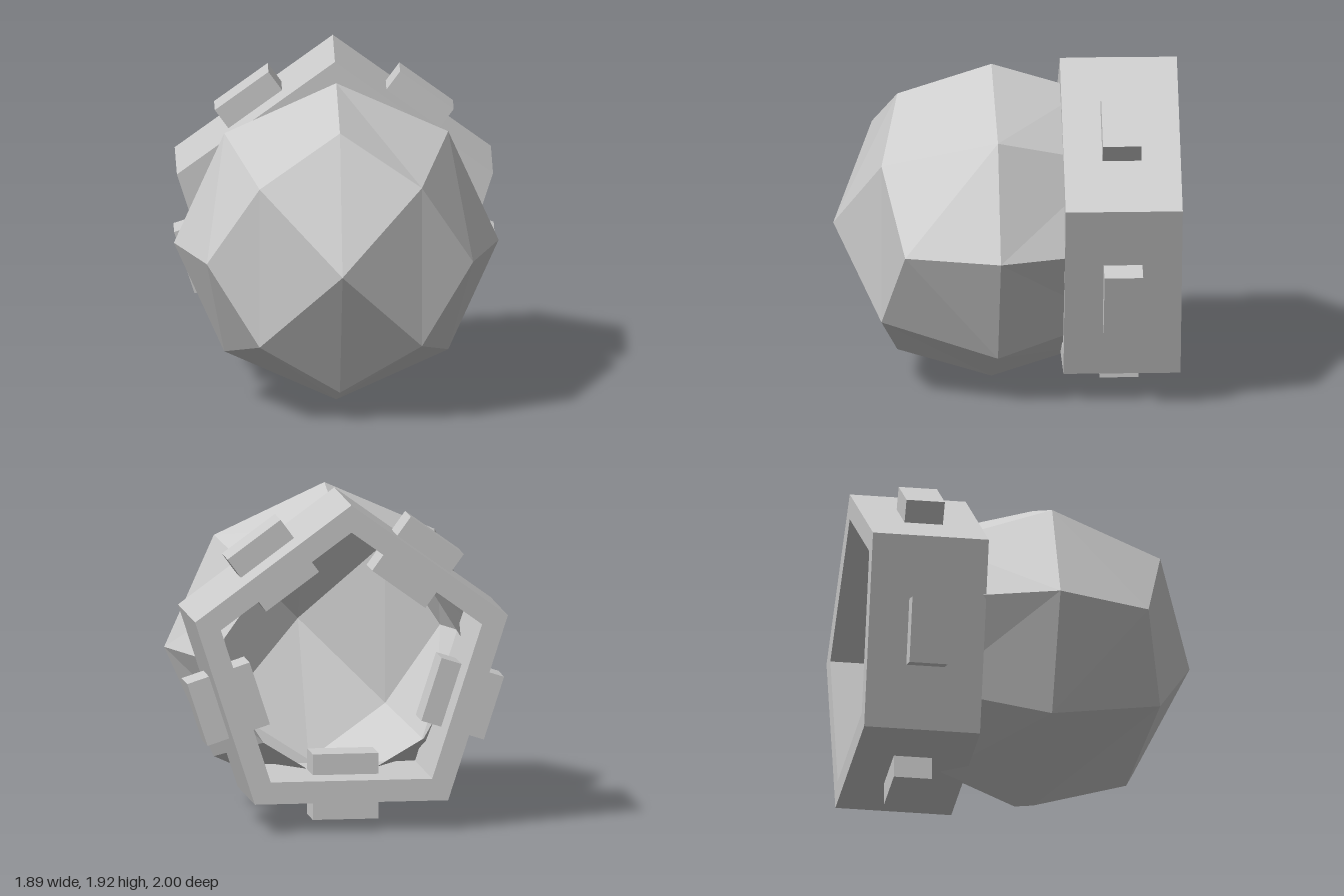
import * as THREE from 'three';

const material = new THREE.MeshStandardMaterial({ color: 0xcccccc, flatShading: true, side: THREE.DoubleSide });

const CENTER_Y = 0.96;
const SIDES = 5;

// Faceted shell: a cube split once per side, pushed out to a ball, open at the back
function createShell() {
  const box = new THREE.BoxGeometry(2, 2, 2, 2, 2, 2);
  box.setIndex(Array.from(box.index.array).slice(0, -24)); // drop the back side
  box.clearGroups();
  const pos = box.attributes.position;
  const reach = [0, 0.92, 0.667, 0.547]; // side centre, edge middle, corner
  const v = new THREE.Vector3();
  for (let i = 0; i < pos.count; i++) {
    v.fromBufferAttribute(pos, i).round();
    const k = Math.abs(v.x) + Math.abs(v.y) + Math.abs(v.z);
    v.multiplyScalar(reach[k]);
    pos.setXYZ(i, v.x, v.y, v.z);
  }
  const geometry = box.toNonIndexed();
  geometry.rotateZ(Math.PI / 4).rotateY(0.021);
  geometry.computeVertexNormals();
  const shell = new THREE.Mesh(geometry, material);
  shell.name = 'facetedShell';
  shell.position.set(0, 0.95, 0.077);
  return shell;
}

// Corner points of a pentagon with one corner up
function pentagon(radius) {
  return Array.from({ length: SIDES }, (_, i) => {
    const a = Math.PI / 2 + (i * 2 * Math.PI) / SIDES;
    return new THREE.Vector2(Math.cos(a) * radius, Math.sin(a) * radius);
  });
}

// Five-sided collar around the back opening
function createCollar() {
  const shape = new THREE.Shape(pentagon(0.965));
  shape.holes.push(new THREE.Path(pentagon(0.806)));
  const geometry = new THREE.ExtrudeGeometry(shape, { depth: 0.68, bevelEnabled: false });
  const collar = new THREE.Mesh(geometry, material);
  collar.name = 'collar';
  collar.position.set(0, CENTER_Y, -1);
  return collar;
}

// One block through the middle of each collar wall
function createLugs() {
  const lugs = new THREE.Group();
  lugs.name = 'lugs';
  const inner = 0.53, outer = 0.915;
  const geometry = new THREE.BoxGeometry(outer - inner, 0.385, 0.225);
  for (let i = 0; i < SIDES; i++) {
    const a = -Math.PI / 2 + (i * 2 * Math.PI) / SIDES;
    const r = (inner + outer) / 2;
    const lug = new THREE.Mesh(geometry, material);
    lug.name = 'lug' + (i + 1);
    lug.position.set(Math.cos(a) * r, CENTER_Y + Math.sin(a) * r, -0.6575);
    lug.rotation.z = a;
    lugs.add(lug);
  }
  return lugs;
}

export function createModel() {
  const model = new THREE.Group();
  model.name = 'facetedPod';
  model.add(createShell(), createCollar(), createLugs());
  return model;
}
